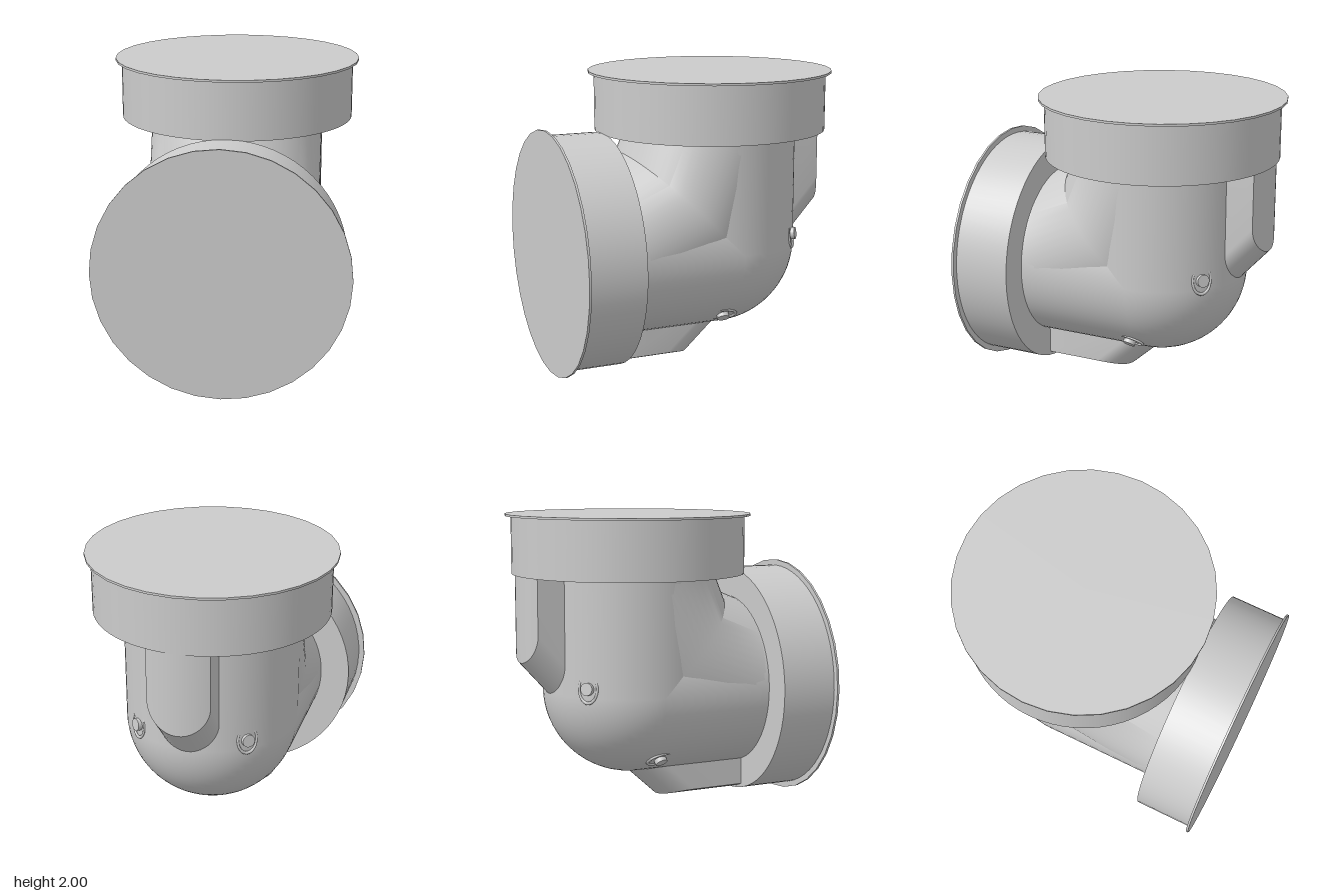
import * as THREE from 'three';
import { toCreasedNormals } from 'three/addons/utils/BufferGeometryUtils.js';

const PIPE_R = 0.585, COLLAR_R = 0.785, CAP_R = 0.825;
const BEND = 0.775, COLLAR_END = 1.16, END = 1.175;
const CENTRE = new THREE.Vector3(0, 0.825, -0.175);

const grey = new THREE.MeshStandardMaterial({ color: 0xcccccc });
const greyDouble = new THREE.MeshStandardMaterial({ color: 0xcccccc, side: THREE.DoubleSide });

function add(parent, name, geometry, material = grey) {
  const mesh = new THREE.Mesh(geometry, material);
  mesh.name = name;
  parent.add(mesh);
  return mesh;
}

// Upright cylinder between two heights
function tube(r, y0, y1, sides = 64) {
  return new THREE.CylinderGeometry(r, r, y1 - y0, sides).translate(0, (y0 + y1) / 2, 0);
}

// Rounded-end rib on the -z side: crowned outer face, U-shaped end sloping into the elbow
function ribGeometry() {
  const w = 0.21, n = 20, cols = [], pos = [];
  for (let i = 0; i <= n; i++) {
    const t = -Math.cos((i / n) * Math.PI);
    const out = 0.78 - 0.05 * t * t;
    const end = 0.205 + 0.2 * (1 - Math.sqrt(Math.max(0, 1 - t * t)));
    cols.push([[out, BEND + 0.01], [out, end], [out - 0.3, end - 0.33], [0.4, BEND + 0.01]]
      .map(([r, y]) => [t * w, y, -r]));
  }
  const tri = (...p) => p.forEach((v) => pos.push(...v));
  for (let i = 0; i < n; i++) {
    const a = cols[i], b = cols[i + 1];
    for (let j = 0; j < 2; j++) {
      tri(a[j], b[j], b[j + 1]);
      tri(a[j], b[j + 1], a[j + 1]);
    }
  }
  // Flat side walls
  const l = cols[0], r = cols[n];
  tri(l[0], l[1], l[2]); tri(l[0], l[2], l[3]);
  tri(r[0], r[2], r[1]); tri(r[0], r[3], r[2]);
  const g = new THREE.BufferGeometry();
  g.setAttribute('position', new THREE.Float32BufferAttribute(pos, 3));
  return toCreasedNormals(g, 0.6);
}

// Oval port with a pin in it, facing out along the sphere normal
function port(side) {
  const g = new THREE.Group();
  g.name = 'sidePort';
  const dir = new THREE.Vector3(side * 0.37, 0.065, -0.45).normalize();
  g.position.copy(dir).multiplyScalar(PIPE_R);
  g.lookAt(dir.clone().multiplyScalar(2));
  const rim = add(g, 'portRim', new THREE.TorusGeometry(0.066, 0.008, 8, 32));
  rim.scale.set(1, 1.4, 1);
  add(g, 'portPin', new THREE.CylinderGeometry(0.042, 0.042, 0.06, 24).rotateX(Math.PI / 2));
  return g;
}

// One arm of the elbow, pointing up
function arm(name) {
  const g = new THREE.Group();
  g.name = name;
  add(g, 'pipe', tube(PIPE_R, 0, BEND + 0.01));
  add(g, 'collar', tube(COLLAR_R, BEND, COLLAR_END));
  add(g, 'endCap', tube(CAP_R, COLLAR_END, END, 32));
  add(g, 'rib', ribGeometry(), greyDouble);
  g.add(port(1), port(-1));
  return g;
}

export function createModel() {
  const model = new THREE.Group();
  model.name = 'pipeElbow';
  const elbow = new THREE.Group();
  elbow.name = 'elbow';
  elbow.position.copy(CENTRE);
  model.add(elbow);

  // Upper arm, and the same arm turned half round the diagonal to face forward
  elbow.add(arm('upperArm'));
  const front = arm('frontArm');
  front.quaternion.setFromAxisAngle(new THREE.Vector3(0, 1, 1).normalize(), Math.PI);
  elbow.add(front);

  // Rounded outer corner
  add(elbow, 'elbowBall', new THREE.SphereGeometry(PIPE_R, 64, 40));

  // Two-step bend filling the inner corner
  const bend = new THREE.TorusGeometry(BEND, PIPE_R - 0.002, 64, 2, Math.PI / 2);
  bend.applyMatrix4(new THREE.Matrix4().makeBasis(
    new THREE.Vector3(0, 0, -1), new THREE.Vector3(0, -1, 0), new THREE.Vector3(-1, 0, 0)));
  bend.translate(0, BEND, BEND);
  add(elbow, 'innerBend', toCreasedNormals(bend, 0.5));
  return model;
}
